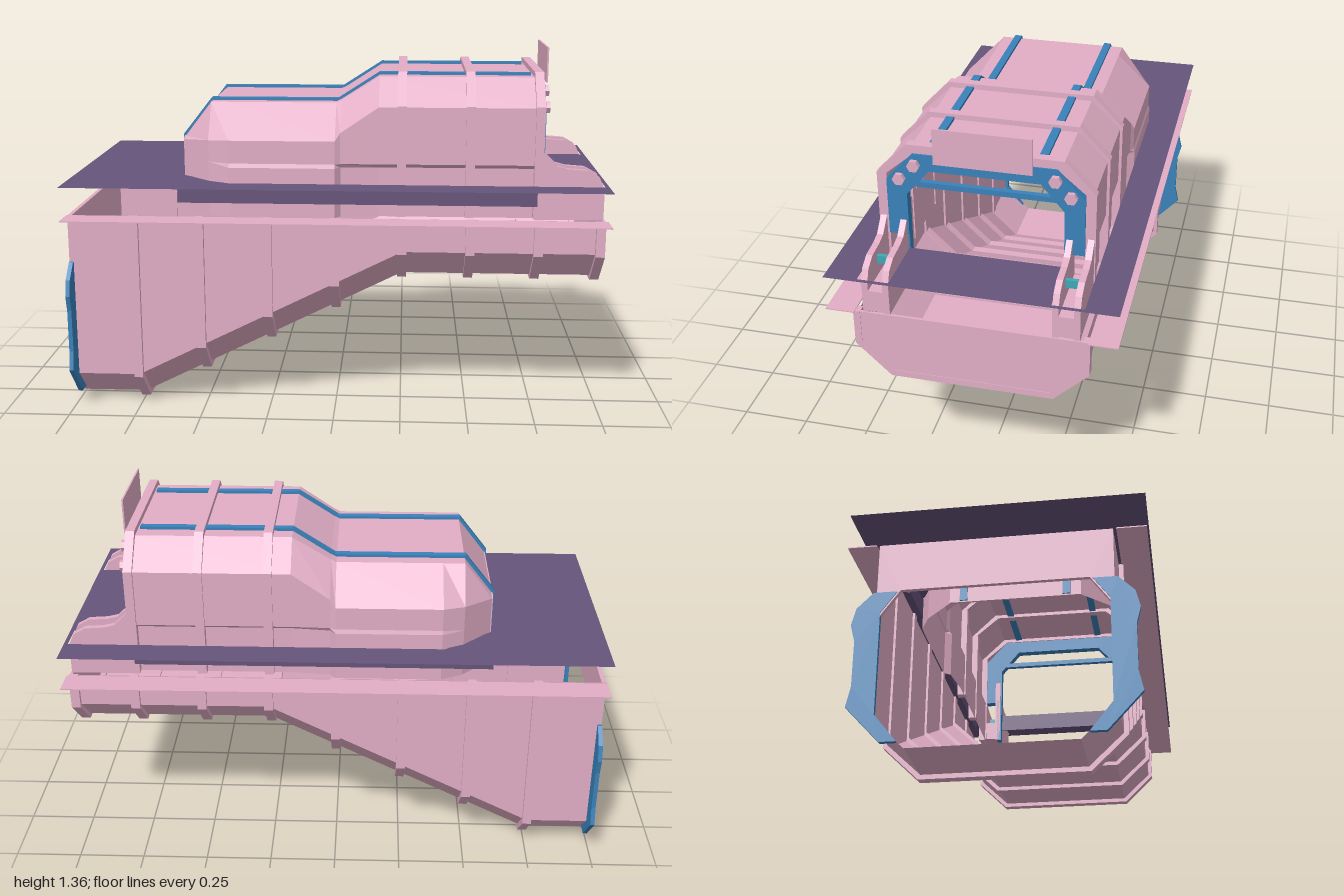
import * as THREE from 'three';

const mat = (color) => new THREE.MeshStandardMaterial({ color, flatShading: true, side: THREE.DoubleSide });

export function createModel() {
  const root = new THREE.Group();
  const pink = mat(0xe2aec6), blue = mat(0x3a82ba), purple = mat(0x66547a), teal = mat(0x3fa9b5);

  const add = (name, geo, material, x = 0, y = 0, z = 0) => {
    const m = new THREE.Mesh(geo, material);
    m.name = name;
    m.position.set(x, y, z);
    root.add(m);
    return m;
  };
  const box = (name, material, w, h, d, x, y, z) => add(name, new THREE.BoxGeometry(w, h, d), material, x, y, z);
  const shapeOf = (pts) => new THREE.Shape(pts.map(([a, b]) => new THREE.Vector2(a, b)));

  // Mirror a half outline of [z, y] points across the centre
  const mirror = (half) => [...half, ...half.slice().reverse().map(([z, y]) => [-z, y])];

  // Plate drawn in the z-y plane, given a thickness along x
  const slab = (name, pts, x, depth, material) => {
    const g = new THREE.ExtrudeGeometry(shapeOf(pts), { depth, bevelEnabled: false });
    g.rotateY(Math.PI / 2);
    return add(name, g, material, x - depth / 2);
  };
  // Plate drawn in the x-y plane, given a thickness along z
  const sideSlab = (name, pts, z, depth, material) =>
    add(name, new THREE.ExtrudeGeometry(shapeOf(pts), { depth, bevelEnabled: false }), material, 0, 0, z - depth / 2);
  const arch = (name, outer, inner, x, depth, material) =>
    slab(name, [...mirror(outer), ...mirror(inner).reverse()], x, depth, material);

  // Skin through cross-sections { x, pts: [z, y] }
  const loft = (name, sections, material) => {
    const pos = [], idx = [], n = sections[0].pts.length;
    for (const s of sections) for (const [z, y] of s.pts) pos.push(s.x, y, z);
    for (let i = 0; i < sections.length - 1; i++)
      for (let j = 0; j < n - 1; j++) {
        const a = i * n + j, b = a + n;
        idx.push(a, a + 1, b, b, a + 1, b + 1);
      }
    const g = new THREE.BufferGeometry();
    g.setAttribute('position', new THREE.Float32BufferAttribute(pos, 3));
    g.setIndex(idx);
    const flat = g.toNonIndexed();
    flat.computeVertexNormals();
    return add(name, flat, material);
  };

  // Lower tunnel: chamfered trough, deep at one end, ramping up to a shallow floor
  const floorAt = (x) => 0.02 + 0.5 * THREE.MathUtils.clamp(x + 0.75, 0, 1);
  const trough = (b, o) => [[0.39 + o, 0.755], [0.39 + o, b + 0.11 - o * 0.4], [0.275 + o * 0.5, b - o]];
  loft('tunnelShell', [-1, -0.75, -0.5, -0.25, 0, 0.25, 0.99].map((x) => ({ x, pts: mirror(trough(floorAt(x), 0)) })), pink);
  for (const x of [-0.75, -0.505, -0.25, 0, 0.25, 0.5, 0.75, 0.975])
    arch('tunnelRib', trough(floorAt(x), 0.016), trough(floorAt(x), -0.008), x, 0.034, pink);
  slab('tunnelEndWall', mirror(trough(0.52, 0)), 0.985, 0.01, pink);
  slab('tunnelHeader', mirror([[0.39, 0.755], [0.39, 0.47], [0.31, 0.58]]), -0.99, 0.015, pink);

  // Side flanges and blue door frame at the deep end
  for (const s of [-1, 1]) {
    box('sideFlange', pink, 2, 0.004, 0.1, 0, 0.755, s * 0.45);
    const frame = [[0.4, 0.575], [0.455, 0.52], [0.47, 0.46], [0.455, 0.4], [0.455, 0.24], [0.47, 0.17],
      [0.355, 0.045], [0.3, 0.045], [0.375, 0.14], [0.375, 0.5], [0.32, 0.575]];
    slab('doorFrame', frame.map(([z, y]) => [z * s, y]), -0.992, 0.016, blue);
  }

  // Ground plate with an opening around the cabin
  const plate = shapeOf([[-1, -0.5], [1, -0.5], [1, 0.5], [-1, 0.5]]);
  const edge = [[-0.58, 0.24], [-0.4, 0.385], [0.985, 0.385], [0.985, 0.275], [0.76, 0.275]];
  plate.holes.push(shapeOf([...edge, ...edge.slice().reverse().map(([x, z]) => [x, -z])]));
  const plateGeo = new THREE.ShapeGeometry(plate);
  plateGeo.rotateX(-Math.PI / 2);
  add('groundPlate', plateGeo, purple, 0, 0.882, 0);
  for (const s of [-1, 1]) box('plateSkirt', purple, 1.32, 0.072, 0.012, 0.08, 0.846, s * 0.394);
  box('plateEndSkirt', purple, 0.006, 0.072, 0.55, 0.763, 0.846, 0);

  // Cabin shell: [x, lower half width, upper half width, shoulder y, roof half width, roof y]
  const cabin = [
    [-0.575, 0.24, 0.24, 1.02, 0.22, 1.03],
    [-0.47, 0.345, 0.345, 1.035, 0.25, 1.165],
    [-0.39, 0.385, 0.38, 1.04, 0.25, 1.165],
    [0, 0.385, 0.38, 1.04, 0.25, 1.165],
    [0.02, 0.36, 0.37, 1.07, 0.25, 1.175],
    [0.16, 0.345, 0.365, 1.165, 0.26, 1.265],
    [0.74, 0.345, 0.365, 1.165, 0.26, 1.265],
  ].map(([x, w, u, ys, r, yr]) => ({ x, pts: mirror([[w, 0.755], [w, 0.94], [u, 0.955], [u, ys], [r, yr]]) }));
  loft('cabinShell', cabin, pink);
  slab('cabinNose', mirror([[0.24, 0.755], [0.24, 1.02], [0.22, 1.03]]), -0.575, 0.008, pink);

  // Raised hoops over the tall part of the cabin
  const hoop = (o) => [[0.36 + o, 0.76], [0.36 + o, 1.17], [0.258 + o * 0.6, 1.27 + o]];
  for (const x of [0.245, 0.495, 0.745]) arch('cabinHoop', hoop(0.015), hoop(-0.02), x, 0.033, pink);

  // Blue strips running up the nose and along the roof
  const strip = [[-0.585, 0.76], [-0.585, 1.035], [-0.475, 1.175], [0.005, 1.175], [0.16, 1.275], [0.72, 1.275]];
  const inner = [[-0.565, 0.76], [-0.565, 1.025], [-0.465, 1.155], [0.01, 1.155], [0.165, 1.255], [0.72, 1.255]];
  for (const s of [-1, 1]) sideSlab('roofStrip', [...strip, ...inner.reverse()], s * 0.188, 0.028, blue), inner.reverse();

  // Entrance frame, bolts and sign board
  arch('entranceFrame', [[0.34, 0.94], [0.34, 1.15], [0.245, 1.255]], [[0.27, 0.94], [0.27, 1.1], [0.19, 1.195]], 0.75, 0.035, blue);
  box('entranceBar', blue, 0.02, 0.02, 0.5, 0.72, 1.12, 0);
  box('signBoard', pink, 0.006, 0.13, 0.335, 0.785, 1.3, 0);
  for (const s of [-1, 1]) {
    box('entrancePost', blue, 0.03, 0.2, 0.018, 0.745, 0.85, s * 0.28);
    for (const [z, y] of [[0.24, 1.215], [0.293, 1.16]]) {
      const g = new THREE.CylinderGeometry(0.022, 0.022, 0.02, 6);
      g.rotateZ(Math.PI / 2);
      add('frameBolt', g, pink, 0.774, y, s * z);
    }
    // Curved side wings either side of the entrance
    const wing = [[0.73, 0.755], [0.73, 1.04], [0.765, 1.0], [0.81, 0.955], [0.85, 0.945], [0.92, 0.94],
      [0.965, 0.915], [0.985, 0.87], [0.985, 0.755]];
    for (const z of [0.288, 0.36]) sideSlab('entranceWing', wing, s * z, 0.022, pink);
    box('wingFloor', pink, 0.25, 0.08, 0.06, 0.86, 0.8, s * 0.324);
    box('wingLamp', teal, 0.015, 0.03, 0.055, 0.875, 0.9, s * 0.324);
  }
  return root;
}
